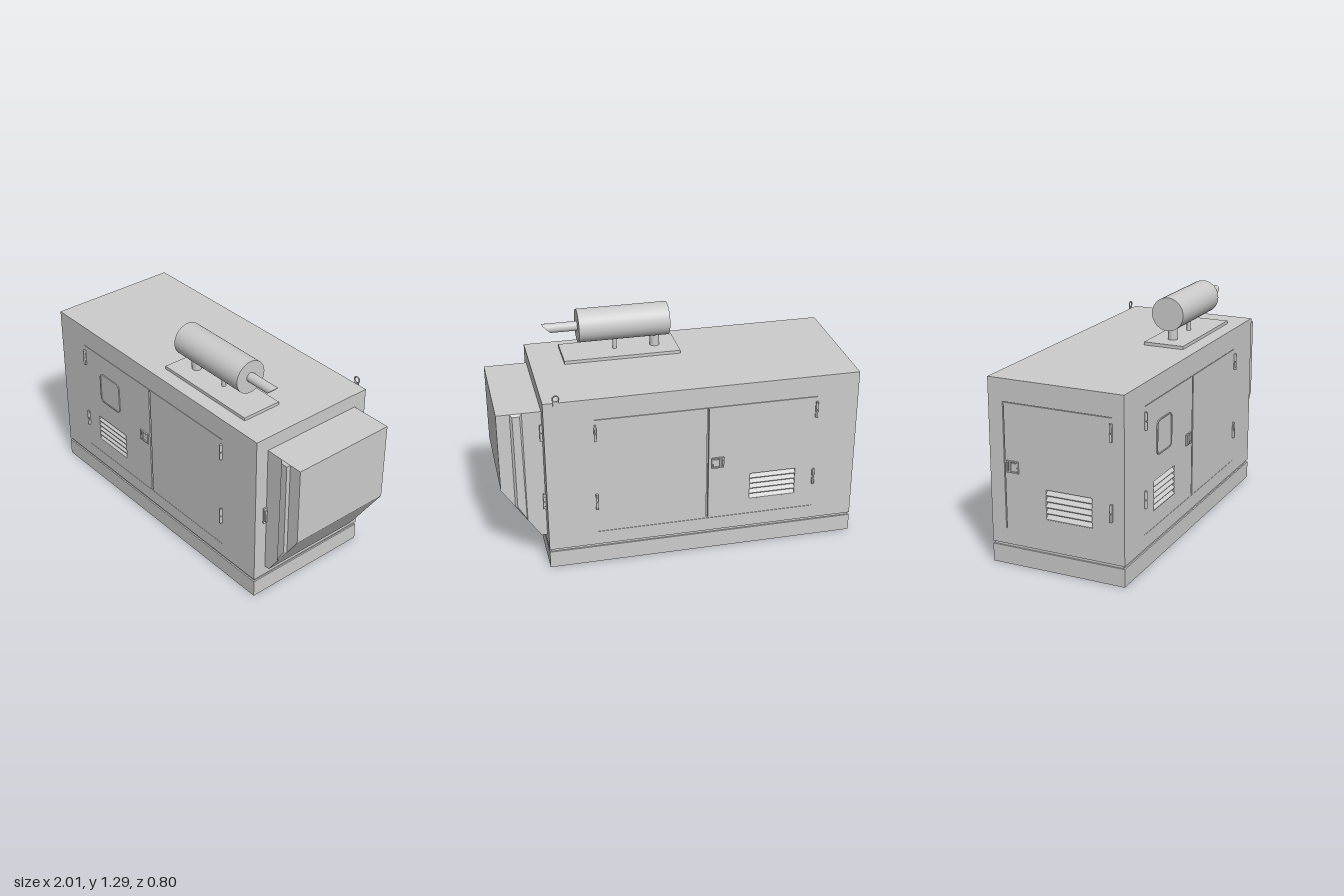
import * as THREE from 'three';

const mat = new THREE.MeshStandardMaterial({ color: 0xcccccc });
const T = 0.02; // wall thickness

function add(parent, name, geo, x = 0, y = 0, z = 0) {
  const m = new THREE.Mesh(geo, mat);
  m.name = name;
  m.position.set(x, y, z);
  parent.add(m);
  return m;
}

// Box given by its min and max corners
function block(parent, name, x0, x1, y0, y1, z0, z1) {
  return add(parent, name, new THREE.BoxGeometry(x1 - x0, y1 - y0, z1 - z0),
    (x0 + x1) / 2, (y0 + y1) / 2, (z0 + z1) / 2);
}

function polygon(pts, Type = THREE.Shape) {
  return new Type(pts.map(p => new THREE.Vector2(p[0], p[1])));
}

const rect = (u0, u1, v0, v1, Type) => polygon([[u0, v0], [u1, v0], [u1, v1], [u0, v1]], Type);

function roundRect(x, y, w, h, r, Type) {
  const s = new Type();
  const a = w / 2 - r, b = h / 2 - r;
  s.absarc(x + a, y + b, r, 0, Math.PI / 2);
  s.absarc(x - a, y + b, r, Math.PI / 2, Math.PI);
  s.absarc(x - a, y - b, r, Math.PI, Math.PI * 1.5);
  s.absarc(x + a, y - b, r, Math.PI * 1.5, Math.PI * 2);
  s.closePath();
  return s;
}

const extrude = (shape, depth) => new THREE.ExtrudeGeometry(shape, { depth, bevelEnabled: false, curveSegments: 6 });

// Side wall, outer face at local z = 0, with cut-out seams and vent opening
function wall(parent, name, u0, u1, holes) {
  const s = rect(u0, u1, 0.115, 1.02);
  for (const h of holes) s.holes.push(rect(Math.min(h[0], h[1]), Math.max(h[0], h[1]), h[2], h[3], THREE.Path));
  add(parent, name, extrude(s, T), 0, 0, -T);
}

// Slats sloping down and out inside the vent opening
function louvre(parent, u, w) {
  const g = new THREE.Group();
  g.name = 'louvre';
  const n = 5, pitch = 0.165 / n;
  const slat = polygon([[0.003, 0.002], [0.003, 0.006], [-T, 0.027], [-T, 0.022]]);
  for (let i = 0; i < n; i++) {
    const m = add(g, 'slat', extrude(slat, w), u + w / 2, 0.29 + i * pitch, 0);
    m.rotation.y = -Math.PI / 2;
    m.position.x = u + w / 2;
    // profile x runs along local z once turned
  }
  parent.add(g);
}

function hinges(parent, u) {
  for (const y of [0.393, 0.818]) {
    block(parent, 'hingeLeaf', u - 0.007, u + 0.007, y - 0.048, y + 0.048, -0.001, 0.006);
    for (const d of [-0.025, 0.025])
      add(parent, 'hingeKnuckle', new THREE.CylinderGeometry(0.006, 0.006, 0.044, 10), u, y + d, 0.009);
  }
}

function handle(parent, u, s) {
  const frame = rect(u - 0.035, u + 0.035, 0.518, 0.583);
  frame.holes.push(rect(u - 0.028, u + 0.028, 0.525, 0.576, THREE.Path));
  add(parent, 'handleFrame', extrude(frame, 0.009), 0, 0, -0.001);
  block(parent, 'handleGrip', u + s * 0.006 - 0.02, u + s * 0.006 + 0.02, 0.53, 0.571, -0.001, 0.005);
  block(parent, 'handleLatch', u - s * 0.014 - 0.005, u - s * 0.014 + 0.005, 0.525, 0.576, -0.001, 0.012);
}

// Long side with a pair of doors; s mirrors it for the back
function longSide(name, s) {
  const g = new THREE.Group();
  g.name = name;
  const u0 = s > 0 ? -0.99 : -0.76;
  wall(g, 'longWall', u0, u0 + 1.75, [
    [-0.141 * s, -0.13 * s, 0.203, 0.89],
    [-0.755 * s, 0.49 * s, 0.894, 0.897],
    [-0.755 * s, 0.49 * s, 0.196, 0.198],
    [-0.645 * s, -0.38 * s, 0.29, 0.455],
  ]);
  louvre(g, -0.5125 * s, 0.265);
  hinges(g, -0.752 * s);
  hinges(g, 0.487 * s);
  handle(g, -0.193 * s, s);
  return g;
}

export function createModel() {
  const root = new THREE.Group();
  root.name = 'generatorSet';

  // Base, gasket and enclosure core
  block(root, 'baseSkid', -0.99, 0.76, 0, 0.1, -0.387, 0.387);
  block(root, 'gasket', -0.982, 0.752, 0.1, 0.115, -0.379, 0.379);
  block(root, 'enclosureCore', -0.97, 0.76, 0.115, 1.02, -0.367, 0.367);

  // Front with inspection window
  const front = longSide('frontSide', 1);
  front.position.z = 0.387;
  const frame = roundRect(-0.517, 0.681, 0.186, 0.192, 0.03, THREE.Shape);
  frame.holes.push(roundRect(-0.517, 0.681, 0.172, 0.178, 0.024, THREE.Path));
  add(front, 'windowFrame', extrude(frame, 0.007), 0, 0, -0.001);
  add(front, 'windowPane', extrude(roundRect(-0.517, 0.681, 0.172, 0.178, 0.024, THREE.Shape), 0.003), 0, 0, -0.001);
  root.add(front);

  // Back
  const back = longSide('backSide', -1);
  back.rotation.y = Math.PI;
  back.position.z = -0.387;
  root.add(back);

  // Right end with its single door
  const end = new THREE.Group();
  end.name = 'rightEnd';
  wall(end, 'endWall', -0.367, 0.367, [
    [-0.303, -0.297, 0.203, 0.89],
    [-0.303, 0.318, 0.894, 0.897],
    [-0.06, 0.205, 0.29, 0.455],
  ]);
  louvre(end, 0.0725, 0.265);
  hinges(end, 0.315);
  handle(end, -0.252, 1);
  end.rotation.y = -Math.PI / 2;
  end.position.x = -0.99;
  root.add(end);

  // Left end fittings beside the hood
  const leftEnd = new THREE.Group();
  leftEnd.name = 'leftEnd';
  hinges(leftEnd, 0.322);
  block(leftEnd, 'latchPlate', -0.334, -0.312, 0.48, 0.578, -0.001, 0.008);
  block(leftEnd, 'latchGrip', -0.329, -0.317, 0.495, 0.563, 0, 0.015);
  leftEnd.rotation.y = Math.PI / 2;
  leftEnd.position.x = 0.76;
  root.add(leftEnd);

  // Air outlet hood and its raised band
  const hood = polygon([[0.76, 0.17], [0.792, 0.17], [1, 0.484], [1, 0.94], [0.76, 0.94]]);
  add(root, 'airHood', extrude(hood, 0.62), 0, 0, -0.31);
  const band = polygon([[0.863, 0.277], [0.927, 0.374], [0.927, 0.94], [0.863, 0.94]]);
  add(root, 'hoodBand', new THREE.ExtrudeGeometry(band, {
    depth: 0.62, bevelEnabled: true, bevelSegments: 1, bevelSize: 0.012, bevelOffset: -0.012, bevelThickness: 0.013,
  }), 0, 0, -0.31);

  // Exhaust silencer
  const ex = new THREE.Group();
  ex.name = 'exhaust';
  ex.position.z = 0.187;
  block(ex, 'mountPlate', -0.088, 0.572, 1.018, 1.038, -0.118, 0.118);
  add(ex, 'wideLeg', new THREE.CylinderGeometry(0.027, 0.027, 0.1, 24), 0.037, 1.08, 0);
  add(ex, 'thinLeg', new THREE.CylinderGeometry(0.012, 0.012, 0.1, 16), 0.267, 1.08, 0);
  add(ex, 'silencer', new THREE.CylinderGeometry(0.094, 0.094, 0.515, 48).rotateZ(Math.PI / 2), 0.2225, 1.194, 0);

  // Tail pipe: open tube with its far end sheared to a slant
  for (const [name, r] of [['tailPipe', 0.027], ['tailPipeBore', 0.025]]) {
    const geo = new THREE.CylinderGeometry(r, r, 0.18, 24, 1, true).rotateZ(-Math.PI / 2);
    const p = geo.attributes.position;
    for (let i = 0; i < p.count; i++) if (p.getX(i) > 0) p.setX(i, p.getX(i) + p.getY(i) * 1.05);
    if (r < 0.027) geo.index.array.reverse();
    add(ex, name, geo, 0.56, 1.194, 0);
  }
  root.add(ex);

  // Lifting eye
  add(root, 'liftingEye', new THREE.TorusGeometry(0.017, 0.004, 8, 24), 0.69, 1.045, -0.389);
  block(root, 'liftingTab', 0.675, 0.705, 0.985, 1.03, -0.392, -0.386);
  return root;
}
